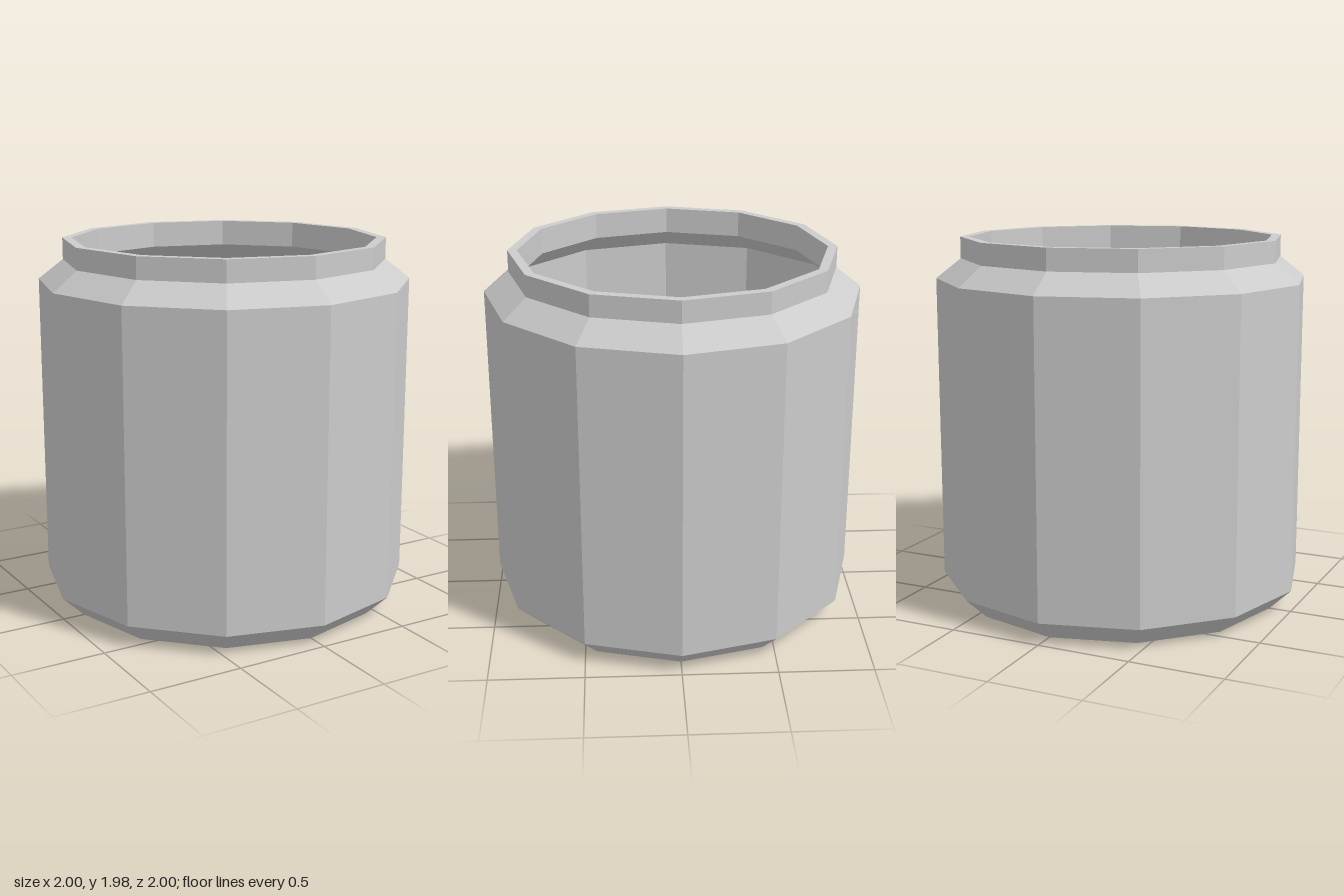
import * as THREE from 'three';

const SIDES = 12;

// Revolves a [radius, height] profile into a faceted ring of flat panels.
function turned(name, profile, material) {
  const points = profile.map(([r, y]) => new THREE.Vector2(r, y));
  const mesh = new THREE.Mesh(new THREE.LatheGeometry(points, SIDES), material);
  mesh.name = name;
  return mesh;
}

export function createModel() {
  const material = new THREE.MeshStandardMaterial({ color: 0xcccccc, flatShading: true });
  const jar = new THREE.Group();
  jar.name = 'jar';

  // Outside: base, bevelled foot, straight wall and sloping shoulder
  jar.add(turned('outerBody', [[0, 0], [0.88, 0], [1, 0.115], [1, 1.76], [0.867, 1.865]], material));

  // Neck: outer face, flat lip and inner face
  jar.add(turned('neck', [[0.867, 1.865], [0.867, 1.98], [0.817, 1.98], [0.817, 1.84]], material));

  // Inside: underside of the shoulder, wall, bevel and floor
  jar.add(turned('innerBody', [[0.817, 1.84], [0.95, 1.735], [0.95, 0.135], [0.86, 0.05], [0, 0.05]], material));

  return jar;
}
